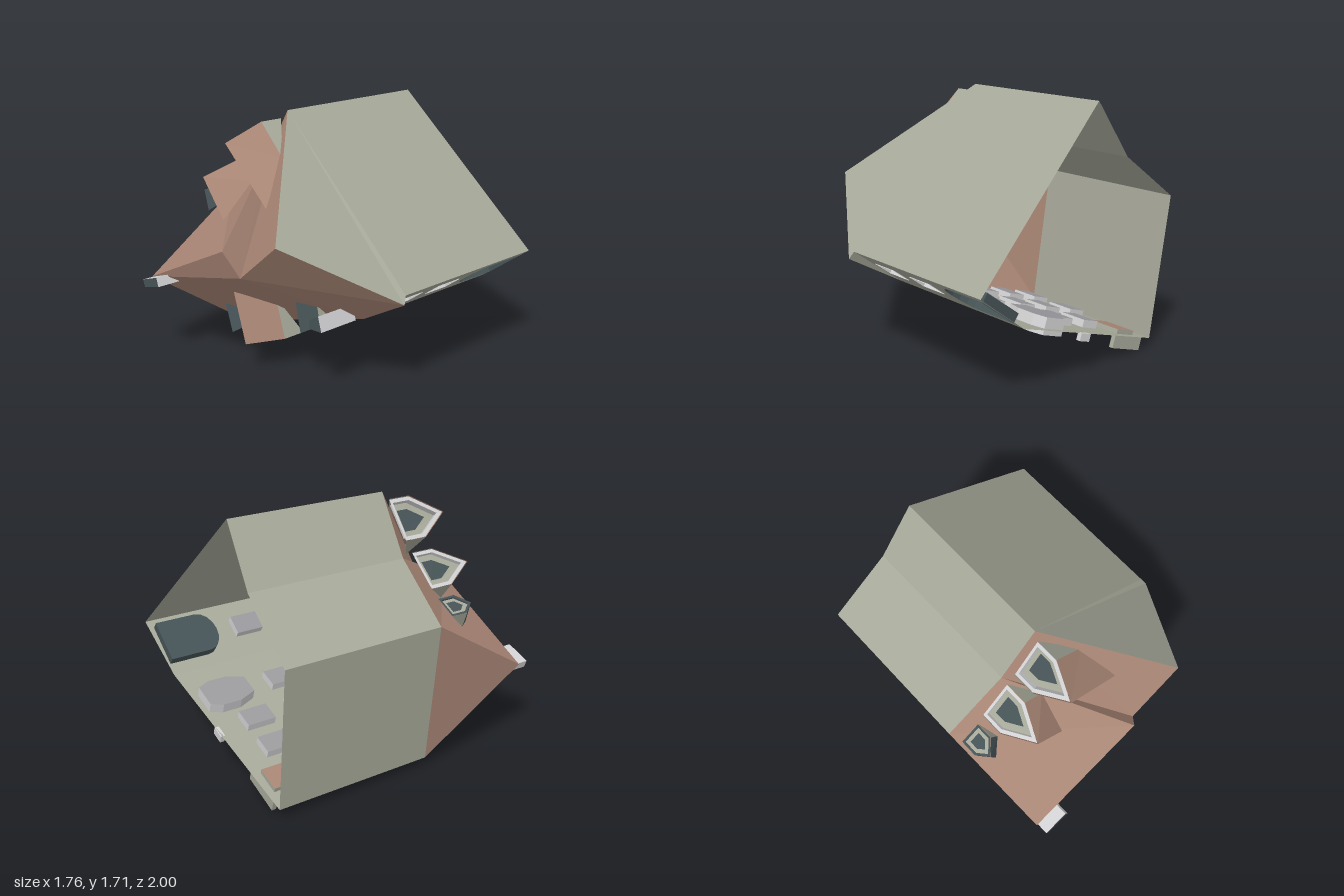
import * as THREE from 'three';

const mat = (name, color) => {
  const m = new THREE.MeshStandardMaterial({ color, side: THREE.DoubleSide, flatShading: true });
  m.name = name;
  return m;
};

export function createModel() {
  const house = new THREE.Group();
  house.name = 'house';
  const wall = mat('wallGrey', 0xa6a899);
  const brick = mat('roofBrown', 0xa98675);
  const light = mat('trimLight', 0xd2d2d4);
  const slate = mat('slateDark', 0x465356);
  const glass = mat('windowGrey', 0x9a9a9e);

  const add = (name, geo, m, parent = house) => {
    const mesh = new THREE.Mesh(geo, m);
    mesh.name = name;
    parent.add(mesh);
    return mesh;
  };
  // convex polygons, each fanned into triangles
  const polys = (name, list, m, parent) => {
    const pos = [];
    for (const p of list)
      for (let i = 1; i < p.length - 1; i++) pos.push(...p[0], ...p[i], ...p[i + 1]);
    const g = new THREE.BufferGeometry();
    g.setAttribute('position', new THREE.Float32BufferAttribute(pos, 3));
    g.computeVertexNormals();
    return add(name, g, m, parent);
  };
  // quads joining two matching loops
  const bridge = (a, b) => a.map((p, i) => {
    const j = (i + 1) % a.length;
    return [p, a[j], b[j], b[i]];
  });

  // main corners: the building lies on its back, eaves and ridges toward +z
  const A = [-0.88, 1.03, 0.18], B = [-0.45, 1.34, 0.21], C = [-0.19, 1.71, 0.23];
  const D = [0.88, 0.69, 0.23], E = [0.5, 0.47, 0.2], F = [-0.75, 0.06, 0.2];
  const D2 = [0.86, 0.74, 0.2];
  const rightApex = [0.46, 1.09, 0.87], rightInner = [0.1, 0.8, 0.86];
  const leftApex = [-0.82, 0.57, 0.92], leftInner = [0.02, 0.97, 0.93];
  const base = (p, z) => [p[0], p[1], z];

  polys('gableWallRight', [[C, base(C, -0.88), base(D2, -1), D2, D, rightApex]], wall);
  polys('gableWallLeft', [[A, base(A, -0.92), base(F, -0.9), F]], wall);
  polys('gableTopLeft', [[A, F, leftApex]], brick);
  polys('rearWalls', [
    [A, B, base(B, -0.9), base(A, -0.92)],
    [B, C, base(C, -0.88), base(B, -0.9)]], wall);
  polys('roofRightWing', [
    [C, B, rightInner, rightApex],
    [D, rightApex, rightInner, E]], brick);
  polys('roofLeftWing', [
    [A, leftApex, leftInner, B],
    [leftApex, F, E, rightInner, leftInner]], brick);
  polys('roofStep', [[leftInner, rightInner, B]], brick);
  polys('eaveStrip', [[D, E, D2]], wall);

  // opening outlines in wall coordinates
  const rect = (s, z, w, h) => [[s - w / 2, z - h / 2], [s + w / 2, z - h / 2], [s + w / 2, z + h / 2], [s - w / 2, z + h / 2]];
  const arch = (s, z0, z1, w) => {
    const pts = [[s - w / 2, z0], [s + w / 2, z0]];
    for (let i = 0; i <= 8; i++) {
      const t = Math.PI * i / 8;
      pts.push([s + Math.cos(t) * w / 2, z1 - 0.11 + Math.sin(t) * 0.11]);
    }
    return pts;
  };
  const bay = (s, z0, z1, w) => [[s - w * 0.35, z0], [s + w * 0.35, z0], [s + w / 2, z0 + 0.08],
    [s + w / 2, z1 - 0.12], [s + w * 0.3, z1], [s - w * 0.3, z1], [s - w / 2, z1 - 0.12], [s - w / 2, z0 + 0.08]];

  // street wall section with pierced, recessed openings
  const section = (name, p, q, zp, zq, openings) => {
    const g = new THREE.Group();
    g.name = name;
    const dir = new THREE.Vector3(q[0] - p[0], q[1] - p[1], 0);
    const len = dir.length();
    dir.normalize();
    const up = new THREE.Vector3(0, 0, 1);
    g.matrix.makeBasis(dir, up, dir.clone().cross(up)).setPosition(p[0], p[1], 0);
    g.matrix.decompose(g.position, g.quaternion, g.scale);
    house.add(g);
    const v2 = o => o.map(c => new THREE.Vector2(...c));
    const shape = new THREE.Shape(v2([[0, zp], [len, zq], [len, 0.2], [0, 0.2]]));
    for (const o of openings) {
      const pts = o.shape((o.x - p[0]) / dir.x);
      shape.holes.push(new THREE.Path(v2(pts)));
      const front = pts.map(c => [c[0], c[1], o.out ?? 0.004]);
      const back = pts.map(c => [c[0], c[1], -(o.depth ?? 0.05)]);
      polys(o.name + 'Reveal', bridge(front, back), o.frame ?? light, g);
      add(o.name + 'Pane', new THREE.ShapeGeometry(new THREE.Shape(v2(pts))), o.pane ?? glass, g)
        .position.z = -(o.depth ?? 0.05);
    }
    add(name + 'Face', new THREE.ShapeGeometry(shape), wall, g);
    return g;
  };
  const floors = (x, zs) => zs.map(z => ({ name: 'window', x, shape: s => rect(s, z, 0.14, 0.2) }));

  section('streetWallRight', E, D2, -0.97, -1, [
    ...floors(0.69, [0.03, -0.32]),
    { name: 'shopWindow', x: 0.69, shape: s => arch(s, -0.96, -0.56, 0.3), frame: slate, pane: slate, depth: 0.06 },
  ]);
  const street = section('streetWallLeft', F, E, -0.9, -0.97, [
    ...floors(0.21, [0.03, -0.32]),
    ...floors(-0.06, [0.03, -0.32, -0.66]),
    ...floors(-0.3, [0.03, -0.32, -0.66]),
    ...floors(-0.54, [0.03, -0.32]),
    { name: 'bayWindow', x: 0.19, shape: s => bay(s, -0.91, -0.58, 0.24), out: 0.04, depth: 0.07 },
    { name: 'door', x: -0.54, shape: s => rect(s, -0.74, 0.17, 0.24), frame: wall, pane: brick, depth: 0.03 },
  ]);
  // doorsteps
  const step = (name, s, z, w, d, m) =>
    add(name, new THREE.BoxGeometry(w, 0.03, d), m, street).position.set(s, z, d / 2);
  step('doorStep', 0.22, -0.88, 0.28, 0.09, wall);
  step('sideStep', 0.72, -0.93, 0.09, 0.05, light);

  // dormer: plan points for ridge and both eaves, from gable face to roof
  const dormer = (name, m, [tip, ridge, lf, lb, rf, rb], [zTop, zEave, zBase]) => {
    const g = new THREE.Group();
    g.name = name;
    house.add(g);
    const T = [...tip, zTop], R = [...ridge, zTop], at = (p, z) => [...p, z];
    polys('dormerRoof', [
      [T, at(lf, zEave), at(lb, zEave), R],
      [T, R, at(rb, zEave), at(rf, zEave)]], m, g);
    // gable face set back under the roof
    const dx = (ridge[0] - tip[0]) * 0.08, dy = (ridge[1] - tip[1]) * 0.08;
    const outer = [at(lf, zBase), at(lf, zEave), T, at(rf, zEave), at(rf, zBase)];
    const mid = [(lf[0] + rf[0]) / 2, (lf[1] + rf[1]) / 2, (zEave + zBase) / 2 + 0.02];
    const shrink = (k, back) => outer.map(p => [
      mid[0] + (p[0] - mid[0]) * k + dx * back,
      mid[1] + (p[1] - mid[1]) * k + dy * back,
      mid[2] + (p[2] - mid[2]) * k]);
    const a = shrink(0.97, 0.1), b = shrink(0.8, 0.1), c = shrink(0.8, 1), d = shrink(0.5, 0.9);
    polys('dormerTrim', [...bridge(a, b), ...bridge(b, c)], m === slate ? slate : light, g);
    polys('dormerFace', [c], wall, g);
    polys('dormerGlass', [d], slate, g);
    polys('dormerCheeks', [
      [at(lf, zBase), at(lf, zEave), at(lb, zEave)],
      [at(rf, zBase), at(rf, zEave), at(rb, zEave)]], wall, g);
  };
  const big = [0.65, 0.43, 0.27], small = [0.48, 0.4, 0.28];
  dormer('upperDormer', brick, [[-0.3, 1.54], [0.1, 1.2], [-0.4, 1.43], [-0.2, 1.26], [-0.21, 1.66], [0, 1.46]], big);
  dormer('middleDormer', brick, [[-0.56, 1.27], [-0.35, 1.02], [-0.67, 1.19], [-0.57, 1.07], [-0.46, 1.37], [-0.32, 1.25]], big);
  dormer('streetDormer', brick, [[-0.15, 0.21], [-0.27, 0.57], [-0.28, 0.17], [-0.35, 0.4], [-0.01, 0.23], [-0.1, 0.5]], big);
  dormer('smallRearDormer', slate, [[-0.8, 1.1], [-0.76, 0.96], [-0.86, 1.07], [-0.82, 0.96], [-0.72, 1.14], [-0.67, 1.04]], small);
  dormer('smallStreetDormerLeft', slate, [[-0.53, 0.12], [-0.6, 0.32], [-0.61, 0.11], [-0.65, 0.23], [-0.46, 0.17], [-0.5, 0.28]], small);
  dormer('smallStreetDormerRight', slate, [[0.21, 0.36], [0.16, 0.59], [0.12, 0.35], [0.1, 0.47], [0.31, 0.42], [0.28, 0.55]], small);

  // chimneys: light shafts with dark caps
  const chimney = (plan, z0, z1) => {
    const loop = z => plan.map(p => [...p, z]);
    polys('chimneyShaft', bridge(loop(z0), loop(z1)), light);
    polys('chimneyCap', [loop(z1)], slate);
  };
  chimney([[-0.79, 0.52], [-0.62, 0.57], [-0.64, 0.63], [-0.81, 0.57]], 0.82, 1);
  chimney([[0.37, 0.46], [0.48, 0.47], [0.45, 0.57], [0.37, 0.52]], 0.25, 0.54);

  return house;
}
